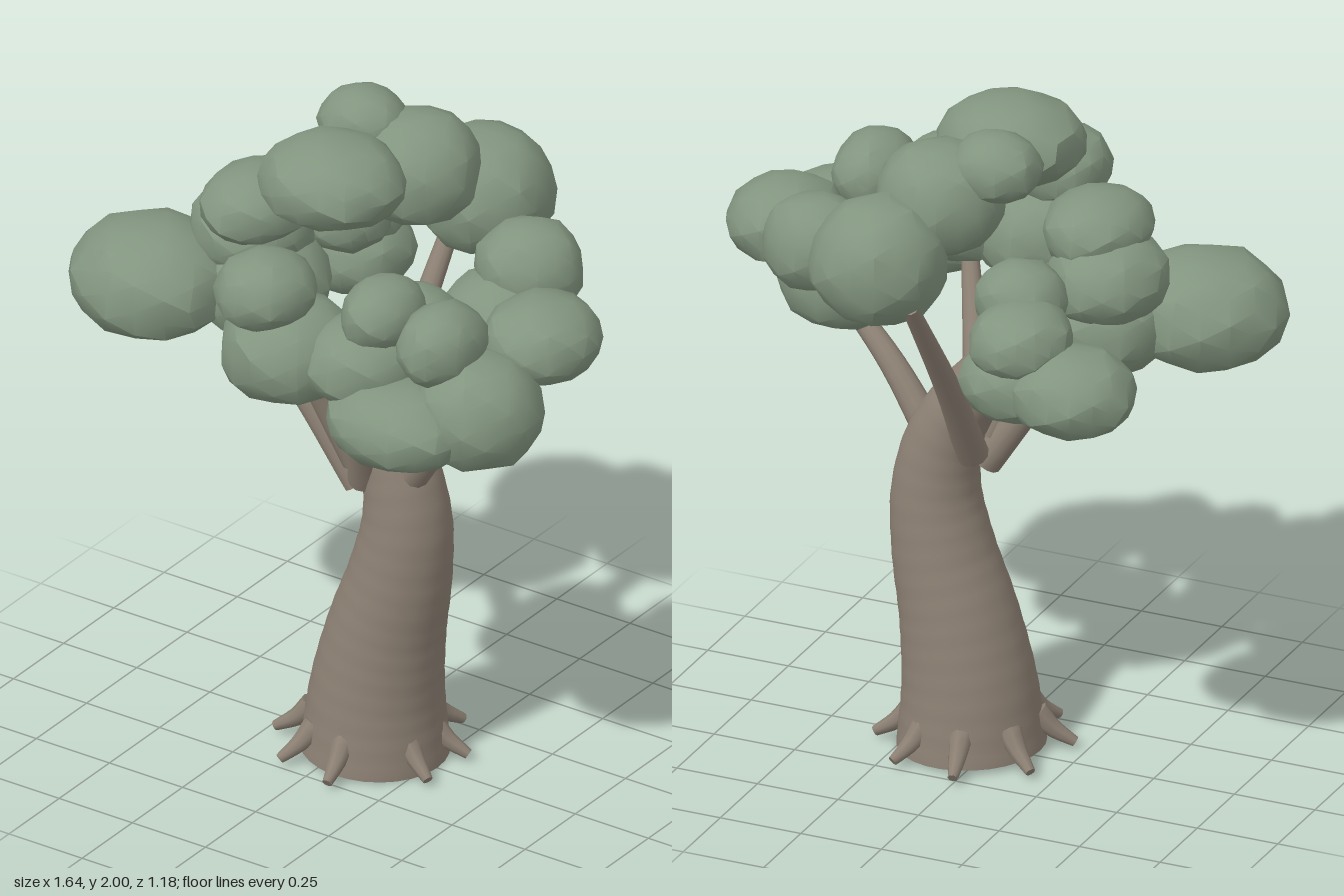
import * as THREE from 'three';
import { mergeVertices, toCreasedNormals } from 'three/addons/utils/BufferGeometryUtils.js';

const bark = new THREE.MeshStandardMaterial({ color: 0x8c8073 });
const leaf = new THREE.MeshStandardMaterial({ color: 0x82957f });

// Capped limb along a curve; radiusAt(u) gives its thickness from base (0) to tip (1)
function limb(name, points, radiusAt, steps, sides) {
  const group = new THREE.Group();
  group.name = name;
  const curve = new THREE.CatmullRomCurve3(points.map(p => new THREE.Vector3(...p)));
  const geo = new THREE.TubeGeometry(curve, steps, 1, sides);
  const pos = geo.attributes.position;
  const v = new THREE.Vector3();
  for (let i = 0; i <= steps; i++) {
    const c = curve.getPointAt(i / steps);
    for (let j = 0; j <= sides; j++) {
      const k = i * (sides + 1) + j;
      v.fromBufferAttribute(pos, k).sub(c).multiplyScalar(radiusAt(i / steps)).add(c);
      pos.setXYZ(k, v.x, v.y, v.z);
    }
  }
  geo.computeVertexNormals();
  // Share normals across the seam
  const n = geo.attributes.normal;
  for (let i = 0; i <= steps; i++) {
    const a = i * (sides + 1), b = a + sides;
    v.fromBufferAttribute(n, a).add(new THREE.Vector3().fromBufferAttribute(n, b)).normalize();
    n.setXYZ(a, v.x, v.y, v.z);
    n.setXYZ(b, v.x, v.y, v.z);
  }
  const tube = new THREE.Mesh(geo, bark);
  tube.name = name + 'Bark';
  group.add(tube);
  for (const u of [0, 1]) {
    const cap = new THREE.Mesh(new THREE.CircleGeometry(radiusAt(u), sides), bark);
    cap.name = name + (u ? 'Tip' : 'Base');
    const dir = curve.getTangentAt(u).multiplyScalar(u ? 1 : -1);
    cap.quaternion.setFromUnitVectors(new THREE.Vector3(0, 0, 1), dir);
    cap.position.copy(curve.getPointAt(u));
    group.add(cap);
  }
  return group;
}

// Lumpy, slightly faceted leaf clump
function clump([x, y, z, rx, ry, rz], i) {
  let geo = new THREE.IcosahedronGeometry(1, 2);
  geo.deleteAttribute('normal');
  geo.deleteAttribute('uv');
  geo = mergeVertices(geo, 1e-3);
  const pos = geo.attributes.position;
  const v = new THREE.Vector3();
  for (let k = 0; k < pos.count; k++) {
    v.fromBufferAttribute(pos, k);
    const bump = 1.01 + 0.03 * Math.sin(v.x * 6 + i * 1.7) * Math.cos(v.z * 6 + i)
      + 0.02 * Math.sin(v.y * 7 + v.x * 5 - v.z * 4 + i * 2.3);
    // Widest a little below the middle, with fuller shoulders
    const wide = 1.01 - 0.05 * v.y;
    const rise = Math.sign(v.y) * Math.abs(v.y) ** 0.9;
    pos.setXYZ(k, v.x * bump * wide, rise * bump, v.z * bump * wide);
  }
  geo.scale(rx, ry, rz);
  const mesh = new THREE.Mesh(toCreasedNormals(geo, 0.55), leaf);
  mesh.name = 'leafClump' + (i + 1);
  mesh.position.set(x, y, z);
  return mesh;
}

export function createModel() {
  const tree = new THREE.Group();
  tree.name = 'tree';

  // Curved trunk with faint growth rings
  tree.add(limb('trunk', [
    [0.065, 0.012, 0], [0.073, 0.2, 0], [0.105, 0.4, 0], [0.153, 0.6, 0],
    [0.175, 0.78, 0], [0.145, 0.95, 0], [0.06, 1.1, 0], [-0.04, 1.22, 0],
  ], u => 0.213 - 0.14 * u + 0.0007 * Math.sin(u * 110), 64, 28));

  // Branches: base, bend, tip
  const branches = {
    rightBranch: [[0.2, 0.92, 0.03], [0.35, 1.11, 0.07], [0.58, 1.3, 0.15]],
    leftBranch: [[0.04, 0.87, 0.04], [-0.14, 1.13, 0.07], [-0.38, 1.44, 0.12]],
    backBranch: [[0.05, 0.92, -0.03], [0.04, 1.18, -0.2], [0.04, 1.56, -0.47]],
    frontBranch: [[0.07, 0.9, 0.06], [0.12, 1.1, 0.15], [0.22, 1.4, 0.32]],
    innerBranch: [[0.04, 0.95, 0.05], [-0.02, 1.14, 0.12], [-0.08, 1.42, 0.24]],
  };
  for (const [name, points] of Object.entries(branches))
    tree.add(limb(name, points, u => 0.048 - 0.024 * u, 12, 12));

  // Root spikes around the foot
  [22, 82, 122, 162, 212, 258, 300, 343].forEach((degrees, i) => {
    const a = degrees * Math.PI / 180;
    const at = (r, y) => [0.055 + r * Math.cos(a), y, r * Math.sin(a)];
    tree.add(limb('root' + (i + 1), [at(0.175, 0.11), at(0.22, 0.065), at(0.285, 0.025)],
      u => 0.037 - 0.022 * u, 6, 8));
  });

  // Crown: x, y, z, then the half-sizes of each clump
  const crown = new THREE.Group();
  crown.name = 'crown';
  const left = [
    [-0.575, 1.41, 0.18, 0.24, 0.165, 0.23], [-0.33, 1.4, 0, 0.2, 0.155, 0.2],
    [-0.37, 1.55, -0.02, 0.17, 0.13, 0.19], [-0.31, 1.67, 0.04, 0.15, 0.105, 0.18],
  ];
  const top = [
    [-0.01, 1.86, 0.1, 0.21, 0.125, 0.195], [0.07, 1.79, -0.2, 0.185, 0.165, 0.185],
    [-0.09, 1.9, -0.17, 0.13, 0.1, 0.12],
  ];
  const back = [
    [0.17, 1.66, -0.4, 0.195, 0.185, 0.195], [-0.43, 1.36, -0.39, 0.18, 0.125, 0.175],
    [-0.25, 1.36, -0.36, 0.165, 0.125, 0.17], [-0.26, 1.48, -0.37, 0.145, 0.11, 0.16],
    [-0.2, 1.54, -0.24, 0.13, 0.11, 0.13],
  ];
  const right = [
    [0.65, 1.52, 0.02, 0.165, 0.12, 0.18], [0.45, 1.58, -0.21, 0.155, 0.14, 0.15],
    [0.42, 1.44, -0.11, 0.18, 0.15, 0.165],
  ];
  const front = [
    [0.61, 1.395, 0.28, 0.185, 0.165, 0.19], [0.43, 1.355, 0.42, 0.215, 0.12, 0.17],
    [0.5, 1.58, 0.3, 0.115, 0.115, 0.15], [0.3, 1.62, 0.3, 0.11, 0.1, 0.14],
    [0.31, 1.52, 0.16, 0.135, 0.115, 0.13], [-0.02, 1.65, 0.42, 0.14, 0.11, 0.15],
    [0.03, 1.46, 0.38, 0.19, 0.155, 0.19], [0.25, 1.47, 0.34, 0.17, 0.125, 0.17],
  ];
  [...left, ...top, ...back, ...right, ...front].forEach((c, i) => crown.add(clump(c, i)));
  tree.add(crown);
  return tree;
}
